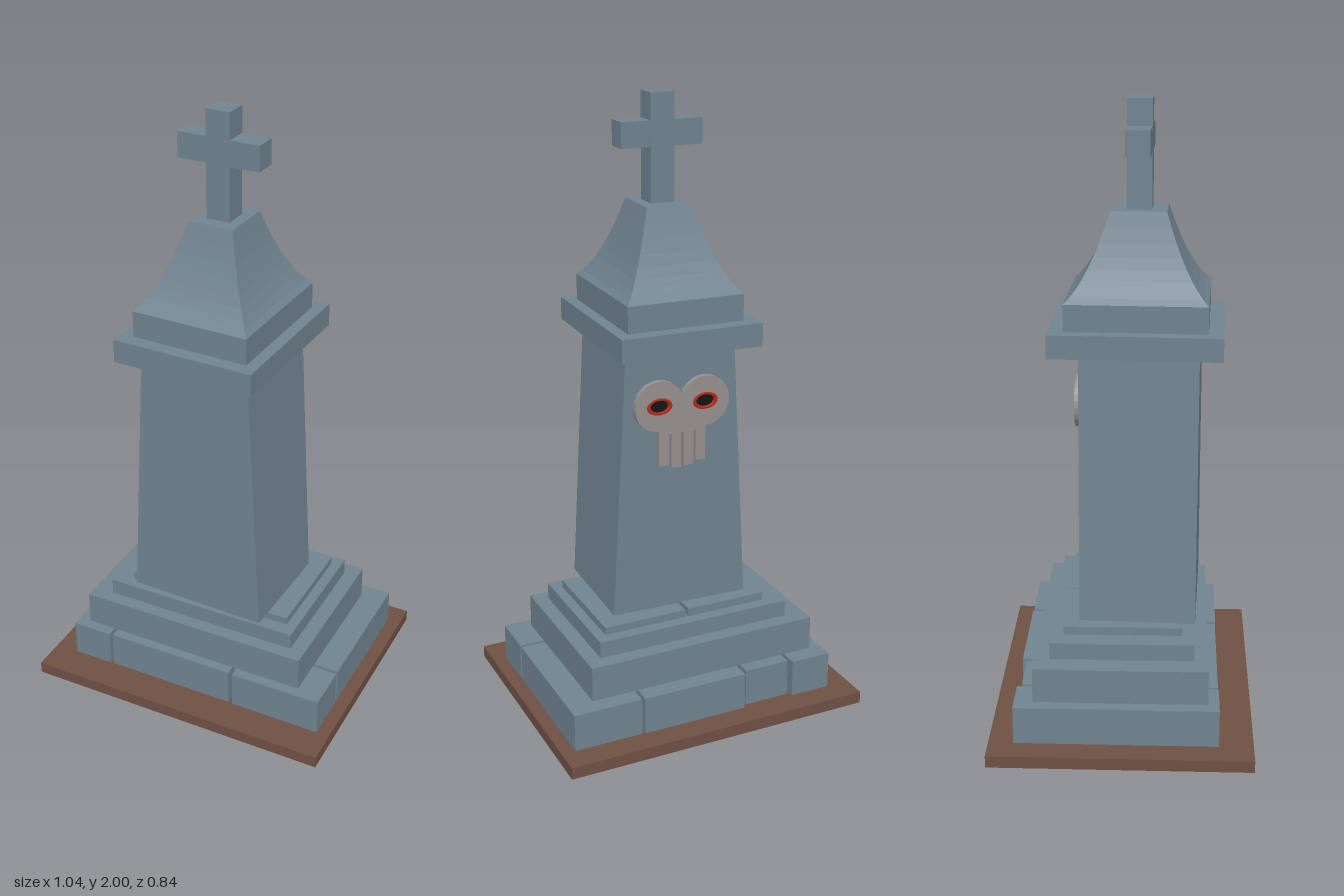
import * as THREE from 'three';

const stone = new THREE.MeshStandardMaterial({ color: 0x708390, flatShading: true });
const soil = new THREE.MeshStandardMaterial({ color: 0x6f5044, flatShading: true });
const bone = new THREE.MeshStandardMaterial({ color: 0x96908c, flatShading: true });
const red = new THREE.MeshStandardMaterial({ color: 0xb02a1c, flatShading: true });
const black = new THREE.MeshStandardMaterial({ color: 0x141414, flatShading: true });

function add(parent, name, geometry, material) {
  const mesh = new THREE.Mesh(geometry, material);
  mesh.name = name;
  parent.add(mesh);
  return mesh;
}

// Box given by its limits on each axis
function block(parent, name, [x0, x1], [y0, y1], [z0, z1], material = stone) {
  const mesh = add(parent, name, new THREE.BoxGeometry(x1 - x0, y1 - y0, z1 - z0), material);
  mesh.position.set((x0 + x1) / 2, (y0 + y1) / 2, (z0 + z1) / 2);
  return mesh;
}

// Box whose rows follow sections [y, half width, half depth], bottom to top
function tapered(sections) {
  const n = sections.length - 1;
  const geo = new THREE.BoxGeometry(2, 1, 2, 1, n, 1);
  const p = geo.attributes.position;
  for (let i = 0; i < p.count; i++) {
    const [y, w, d] = sections[Math.round((p.getY(i) + 0.5) * n)];
    p.setXYZ(i, p.getX(i) * w, y, p.getZ(i) * d);
  }
  geo.computeVertexNormals();
  return geo;
}

// Skull ornament, built facing +z with its back on z = 0
function makeSkull() {
  const skull = new THREE.Group();
  skull.name = 'skullOrnament';
  const depth = 0.018;
  for (const s of [-1, 1]) {
    // Round lobe with an oval eye hole
    const lobe = new THREE.Shape();
    lobe.absarc(0, 0, 0.083, 0, Math.PI * 2);
    const eye = new THREE.Path();
    eye.absellipse(0, 0, 0.043, 0.028, 0, Math.PI * 2, true);
    lobe.holes.push(eye);
    const options = { depth, bevelEnabled: false, curveSegments: 12 };
    add(skull, 'skullLobe', new THREE.ExtrudeGeometry(lobe, options), bone).position.set(s * 0.078, 0, 0);

    const rim = add(skull, 'eyeRim', new THREE.TorusGeometry(0.037, 0.008, 6, 20), red);
    rim.scale.set(1, 0.65, 1);
    rim.position.set(s * 0.078, 0, depth - 0.004);
    const pupil = add(skull, 'eyeSocket', new THREE.CylinderGeometry(0.034, 0.034, 0.008, 16), black);
    pupil.rotation.x = Math.PI / 2;
    pupil.scale.z = 0.65;
    pupil.position.set(s * 0.078, 0, 0.006);
  }
  // Jaw and teeth
  block(skull, 'jaw', [-0.08, 0.08], [-0.095, -0.03], [0, depth - 0.001], bone);
  const lengths = [0.2, 0.212, 0.208, 0.196];
  lengths.forEach((len, i) => {
    const x = -0.063 + i * 0.042;
    block(skull, 'tooth', [x - 0.017, x + 0.017], [-len, -0.09], [0, depth - 0.002], bone);
  });
  return skull;
}

export function createModel() {
  const model = new THREE.Group();
  model.name = 'graveMonument';

  block(model, 'ground', [-0.52, 0.52], [0, 0.04], [-0.42, 0.42], soil);

  // Bottom course of separate stones around a core
  const course = [0.04, 0.165];
  block(model, 'baseCore', [-0.38, 0.38], course, [-0.265, 0.262]);
  const stones = [
    [[-0.44, -0.302], [-0.34, 0.31]],
    [[-0.291, -0.135], [-0.325, -0.2]],
    [[-0.123, 0.235], [-0.34, -0.2]],
    [[0.245, 0.475], [-0.337, 0.14]],
    [[-0.291, 0.152], [0.2, 0.308]],
    [[0.167, 0.475], [0.153, 0.31]],
  ];
  for (const [x, z] of stones) block(model, 'baseStone', x, course, z);

  // Steps
  block(model, 'lowerStep', [-0.4, 0.39], [0.165, 0.28], [-0.28, 0.275]);
  block(model, 'middleStep', [-0.33, 0.34], [0.28, 0.335], [-0.23, 0.23]);
  block(model, 'upperStepRight', [-0.265, 0.01], [0.335, 0.362], [-0.19, 0.19]);
  block(model, 'upperStepLeft', [0.022, 0.305], [0.335, 0.36], [-0.19, 0.185]);

  // Upper monument, turned slightly on its base
  const tower = new THREE.Group();
  tower.name = 'tower';
  tower.position.set(0.008, 0, 0.053);
  tower.rotation.y = -0.035;
  model.add(tower);

  add(tower, 'column', tapered([[0.36, 0.233, 0.187], [1.24, 0.184, 0.187]]), stone);
  block(tower, 'cornice', [-0.236, 0.232], [1.24, 1.315], [-0.28, 0.26]);

  // Roof with a straight foot and concave slopes
  const sections = [[1.315, 0.193, 0.222]];
  const slope = new THREE.QuadraticBezierCurve(
    new THREE.Vector2(1, 1.4), new THREE.Vector2(0.47, 1.46), new THREE.Vector2(0, 1.665));
  for (const { x, y } of slope.getPoints(8)) sections.push([y, 0.074 + 0.119 * x, 0.087 + 0.135 * x]);
  add(tower, 'roof', tapered(sections), stone).position.set(0, 0, -0.009);

  // Cross
  block(tower, 'crossPost', [-0.039, 0.039], [1.66, 2], [-0.047, 0.031]);
  for (const s of [-1, 1]) {
    block(tower, 'crossArm', s < 0 ? [-0.135, -0.039] : [0.039, 0.135], [1.837, 1.917], [-0.045, 0.03]);
  }

  // Skull on the back of the column
  const skull = makeSkull();
  skull.position.set(0, 1.06, -0.186);
  skull.rotation.y = Math.PI;
  tower.add(skull);

  return model;
}
